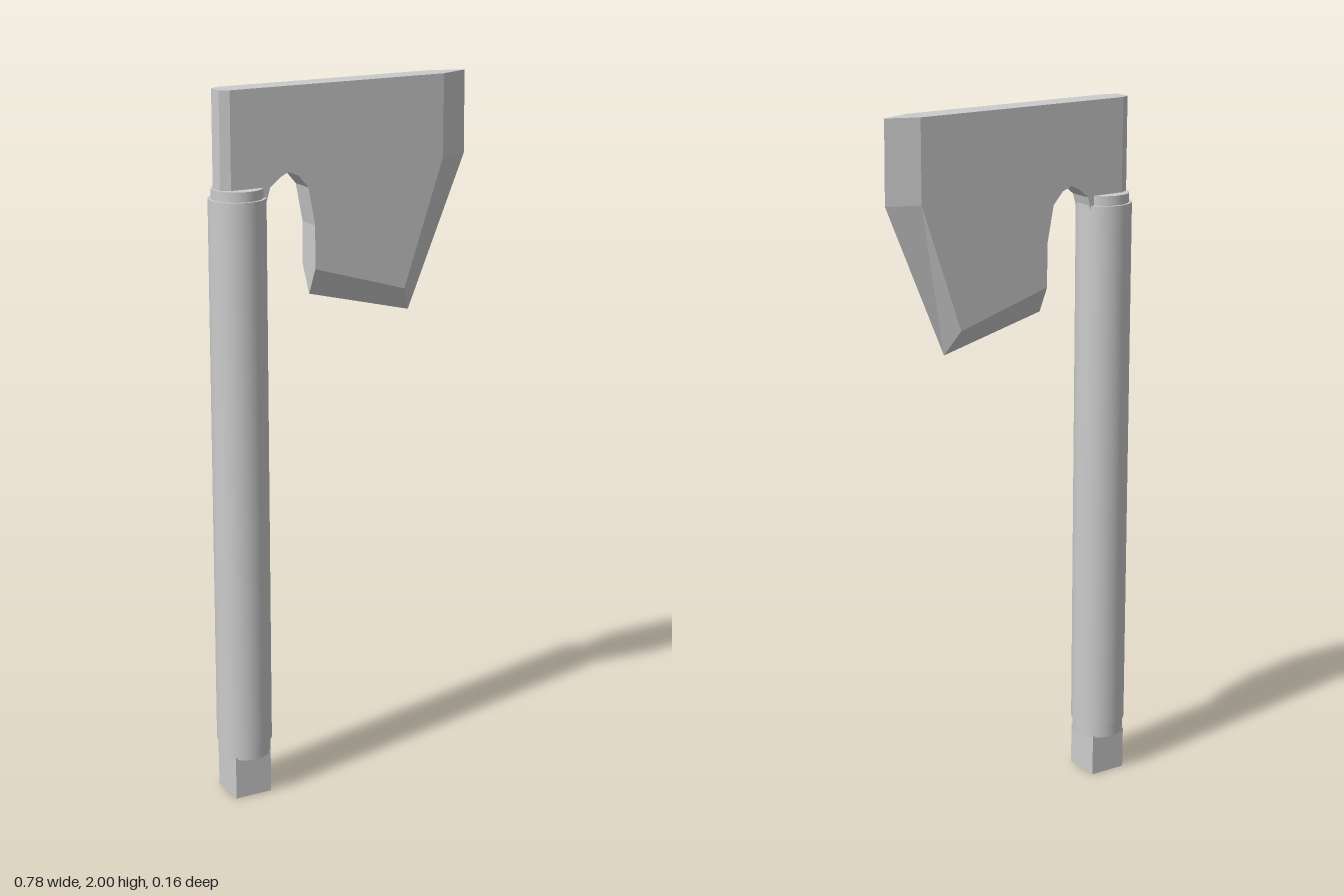
import * as THREE from 'three';

const material = new THREE.MeshStandardMaterial({ color: 0xcccccc });
const HANDLE_X = -0.315;
const T = 0.036; // half thickness of the blade

// Outline, counter-clockwise: [face x, face y, rim x, rim y, rim half thickness]
const flat = (x, y) => [x, y, x, y, T];
const outline = [
  [-0.35, 2, -0.375, 2, 0.022],
  [-0.35, 1.7, -0.375, 1.7, 0.022],
  flat(-0.245, 1.7),
  flat(-0.235, 1.735),
  flat(-0.205, 1.76),
  flat(-0.18, 1.772),
  flat(-0.15, 1.76),
  flat(-0.12, 1.725),
  flat(-0.1, 1.62),
  [-0.1, 1.5, -0.1, 1.425, 0],
  [0.18, 1.415, 0.213, 1.345, 0],
  [0.3, 1.77, 0.39, 1.77, 0],
  [0.3, 2, 0.388, 2, 0],
];

// Faceted blade: flat cheeks, bevelled sides and a rim that narrows to a cutting edge
function bladeGeometry() {
  const pos = [];
  const tri = (a, b, c) => {
    const area = new THREE.Triangle(...[a, b, c].map((p) => new THREE.Vector3(...p))).getArea();
    if (area > 1e-8) pos.push(...a, ...b, ...c);
  };
  const quad = (a, b, c, d) => { tri(a, b, c); tri(a, c, d); };
  const face = (p, s) => [p[0], p[1], s * T];
  const rim = (p, s) => [p[2], p[3], s * p[4]];

  // cheeks
  const contour = outline.map((p) => new THREE.Vector2(p[0], p[1]));
  for (const [i, j, k] of THREE.ShapeUtils.triangulateShape(contour, [])) {
    const [a, b, c] = [outline[i], outline[j], outline[k]];
    tri(face(a, 1), face(b, 1), face(c, 1));
    tri(face(c, -1), face(b, -1), face(a, -1));
  }
  // bevels and rim
  outline.forEach((p, i) => {
    const q = outline[(i + 1) % outline.length];
    quad(face(p, 1), rim(p, 1), rim(q, 1), face(q, 1));
    quad(rim(p, 1), rim(p, -1), rim(q, -1), rim(q, 1));
    quad(rim(p, -1), face(p, -1), face(q, -1), rim(q, -1));
  });

  const g = new THREE.BufferGeometry();
  g.setAttribute('position', new THREE.Float32BufferAttribute(pos, 3));
  g.computeVertexNormals();
  return g;
}

export function createModel() {
  const group = new THREE.Group();
  const add = (name, geometry, x = 0, y = 0) => {
    const mesh = new THREE.Mesh(geometry, material);
    mesh.name = name;
    mesh.position.set(x, y, 0);
    group.add(mesh);
  };
  const rod = (name, r, y0, y1) =>
    add(name, new THREE.CylinderGeometry(r, r, y1 - y0, 48), HANDLE_X, (y0 + y1) / 2);

  // handle, with a stepped collar at each end
  rod('handle', 0.078, 0.16, 1.71);
  rod('topCollar', 0.07, 1.7, 1.737);
  rod('bottomCollar', 0.074, 0.118, 0.17);

  // square butt under the handle
  add('handleButt', new THREE.BoxGeometry(0.11, 0.125, 0.11), HANDLE_X, 0.0625);

  add('blade', bladeGeometry());
  return group;
}
